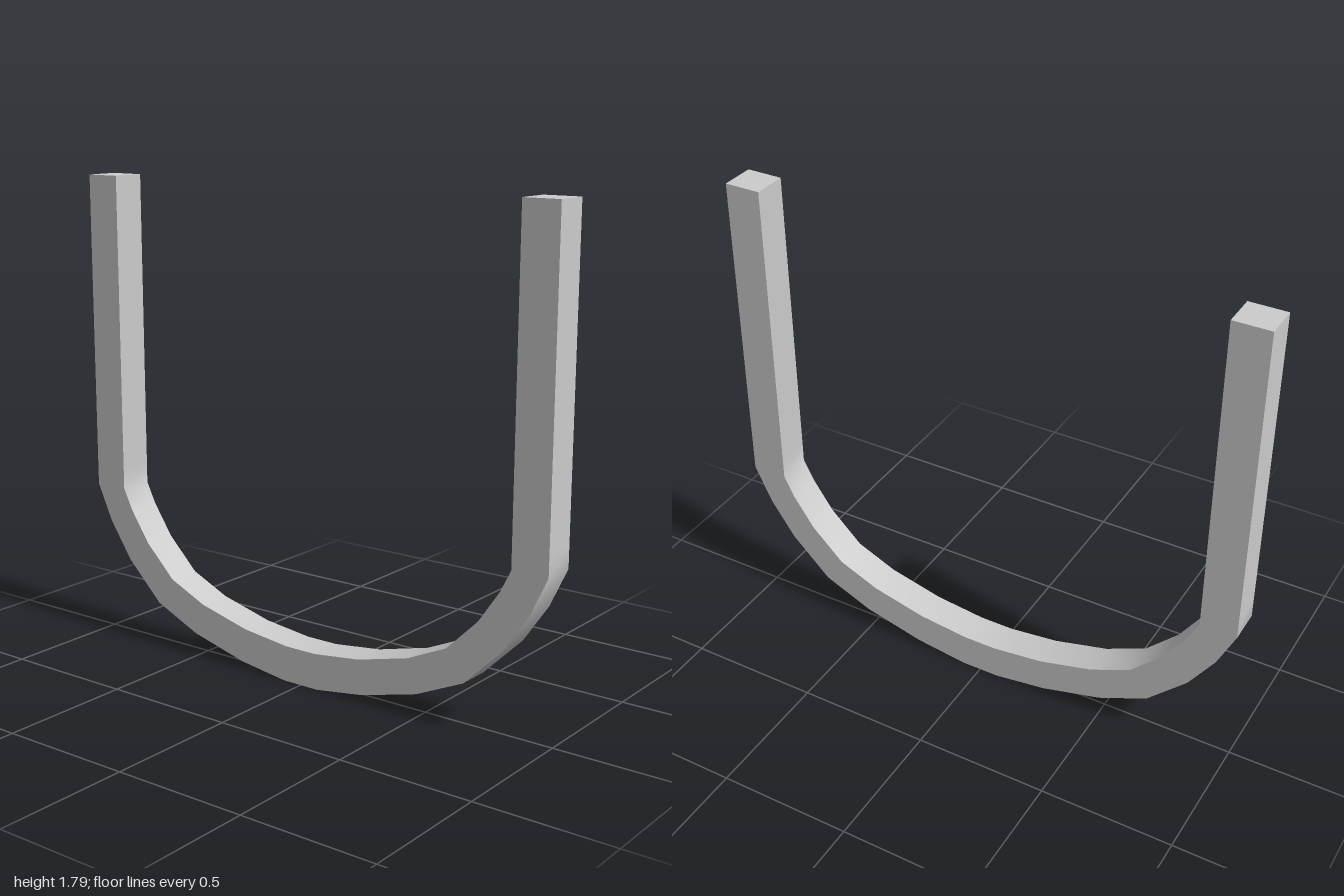
import * as THREE from 'three';
import { toCreasedNormals } from 'three/addons/utils/BufferGeometryUtils.js';

// Half profiles of the bent bar, from the top of the leg to the middle of the bend
const OUTER = [[1, 1.795], [1, 0.68], [1, 0.6], [0.935, 0.46], [0.84, 0.32], [0.69, 0.172], [0.503, 0.088], [0.273, 0.028], [0.075, 0]];
const INNER = [[0.863, 1.795], [0.863, 0.68], [0.863, 0.6], [0.823, 0.52], [0.743, 0.402], [0.62, 0.28], [0.465, 0.21], [0.257, 0.157], [0.064, 0.134]];
const DEPTH = 0.13;

// Mirrors a half profile into a full run from the right leg to the left leg
function fullRun(half) {
  const left = half.map(([x, y]) => new THREE.Vector2(x, y));
  const right = half.map(([x, y]) => new THREE.Vector2(-x, y));
  return [...right, ...left.reverse()];
}

export function createModel() {
  const group = new THREE.Group();
  group.name = 'bentBar';

  // Square U-shaped bar: sharp long edges, smooth shading round the bend
  const shape = new THREE.Shape([...fullRun(OUTER), ...fullRun(INNER).reverse()]);
  const extruded = new THREE.ExtrudeGeometry(shape, { depth: DEPTH, bevelEnabled: false });
  extruded.translate(0, 0, -DEPTH / 2);
  const geometry = toCreasedNormals(extruded, 0.6);

  const bar = new THREE.Mesh(geometry, new THREE.MeshStandardMaterial({ color: 0xcccccc }));
  bar.name = 'uShapedBar';
  group.add(bar);
  return group;
}
